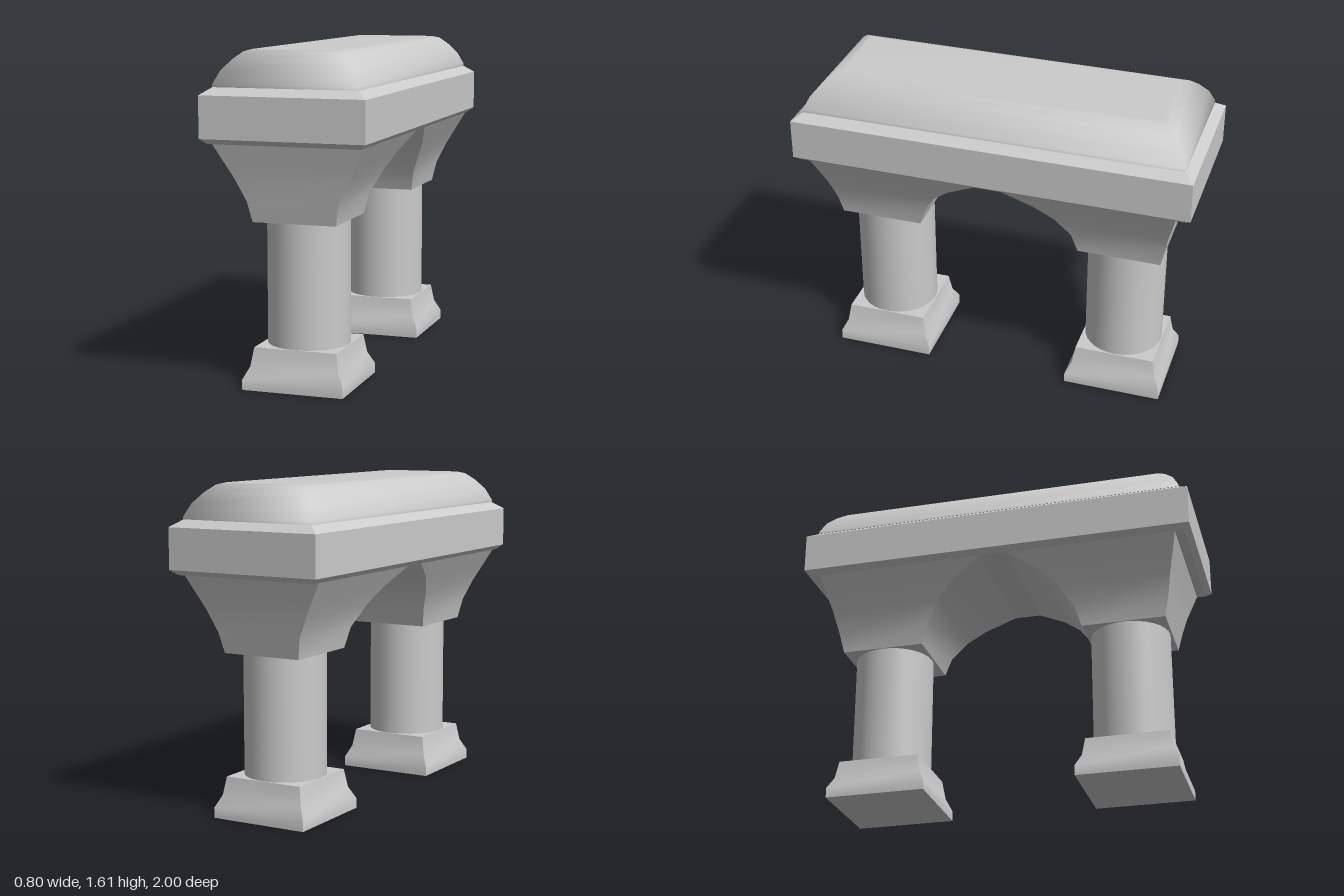
import * as THREE from 'three';
import { toCreasedNormals } from 'three/addons/utils/BufferGeometryUtils.js';

const material = new THREE.MeshStandardMaterial({ color: 0xcccccc });

// Stack of rectangles [y, half width, back z, front z], closed at both ends.
function loftRectangles(sections, smooth = false) {
  const positions = [], index = [];
  for (const [y, x, z0, z1] of sections) {
    positions.push(-x, y, z1, x, y, z1, x, y, z0, -x, y, z0);
  }
  for (let i = 0; i < sections.length - 1; i++) {
    for (let j = 0; j < 4; j++) {
      const a = i * 4 + j, b = i * 4 + (j + 1) % 4;
      index.push(a, b, b + 4, a, b + 4, a + 4);
    }
  }
  const t = (sections.length - 1) * 4;
  index.push(t, t + 1, t + 2, t, t + 2, t + 3);
  if (!smooth) index.push(0, 2, 1, 0, 3, 2);
  const geometry = new THREE.BufferGeometry();
  geometry.setAttribute('position', new THREE.Float32BufferAttribute(positions, 3));
  geometry.setIndex(index);
  geometry.computeVertexNormals();
  return smooth ? geometry : toCreasedNormals(geometry, 0.6);
}

function addPart(parent, name, geometry) {
  const mesh = new THREE.Mesh(geometry, material);
  mesh.name = name;
  parent.add(mesh);
  return mesh;
}

// One pillar: flared foot, round shaft and bracket with an arched inner side.
function createPillar(name) {
  const pillar = new THREE.Group();
  pillar.name = name;
  const z = 0.625;

  const foot = [[0, 0.25], [0.05, 0.25], [0.11, 0.22], [0.2, 0.205]];
  addPart(pillar, 'foot', loftRectangles(foot.map(([y, r]) => [y, r, z - r, z + r])));

  const shaft = addPart(pillar, 'shaft', new THREE.CylinderGeometry(0.2, 0.2, 0.6, 32));
  shaft.position.set(0, 0.5, z);

  addPart(pillar, 'bracket', loftRectangles([
    [0.8, 0.205, 0.415, 0.835],
    [0.9, 0.225, 0.385, 0.857],
    [1.01, 0.277, 0.31, 0.88],
    [1.09, 0.322, 0.22, 0.902],
    [1.175, 0.37, 0.07, 0.925],
  ]));
  return pillar;
}

export function createModel() {
  const model = new THREE.Group();
  model.name = 'archedBench';

  const front = createPillar('frontPillar');
  const back = createPillar('backPillar');
  back.rotation.y = Math.PI;
  model.add(front, back);

  // Slab with bevelled upper and lower edges
  const slab = [[1.175, 0.37], [1.2, 0.4], [1.4, 0.4], [1.435, 0.35]];
  addPart(model, 'slab', loftRectangles(slab.map(([y, x]) => [y, x, -x - 0.6, x + 0.6])));

  // Softly domed top
  const dome = [[1.435, 0.352], [1.45, 0.35], [1.51, 0.322], [1.56, 0.28], [1.595, 0.24], [1.605, 0.205]];
  addPart(model, 'domedTop', loftRectangles(dome.map(([y, x]) => [y, x, -x - 0.6, x + 0.6]), true));

  return model;
}
